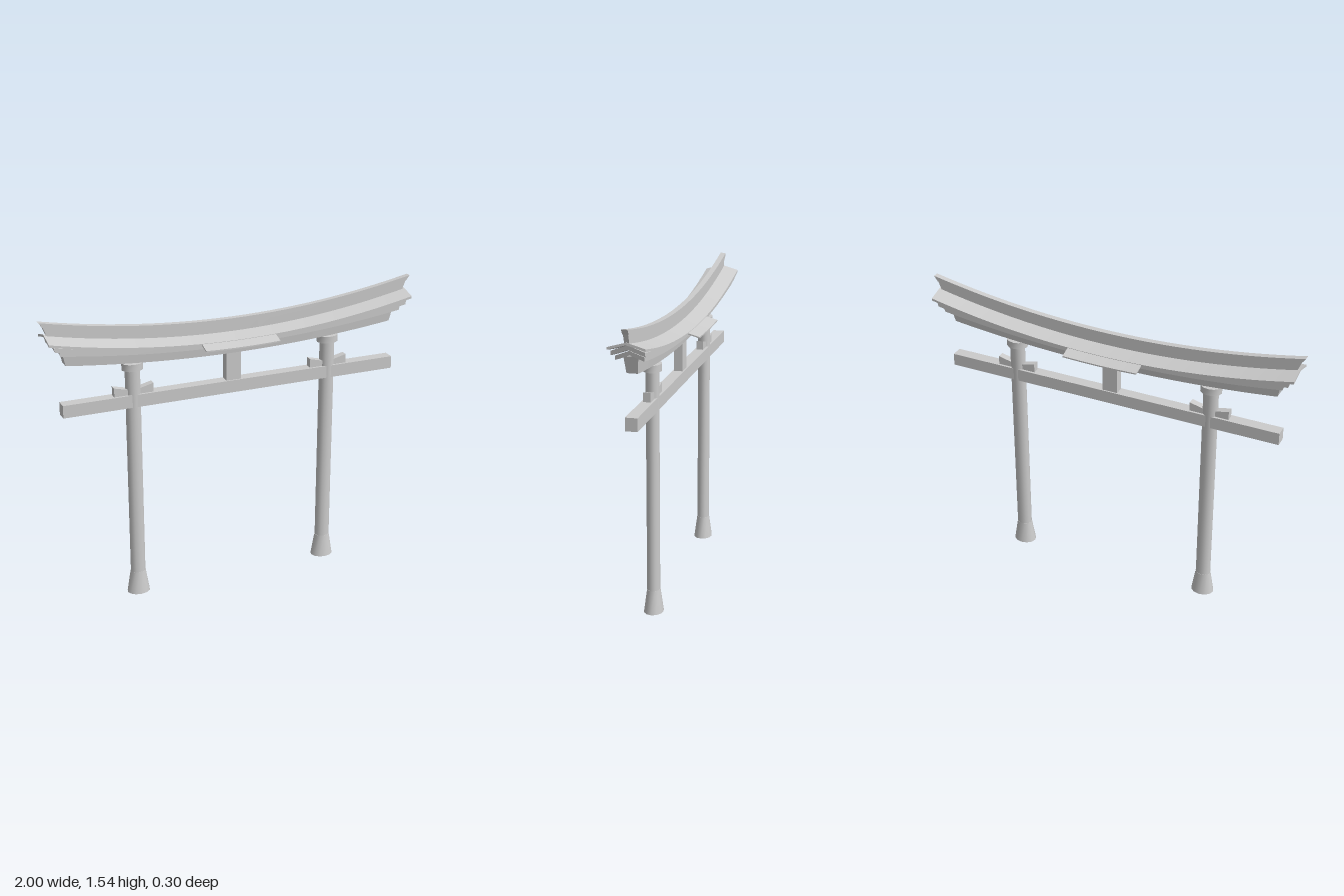
import * as THREE from 'three';
import { toCreasedNormals } from 'three/addons/utils/BufferGeometryUtils.js';

const material = new THREE.MeshStandardMaterial({ color: 0xcccccc, side: THREE.DoubleSide });

function add(parent, geometry, name, x = 0, y = 0, z = 0) {
  const mesh = new THREE.Mesh(geometry, material);
  mesh.name = name;
  mesh.position.set(x, y, z);
  parent.add(mesh);
  return mesh;
}

// Beam with a (z, y) section, swept along x and lifted towards both ends.
// Half length and lift are given as [at the bottom, at the top] of the section.
function curvedBeam(section, halfLength, lift) {
  const shape = new THREE.Shape(section.map(([z, y]) => new THREE.Vector2(z, y)));
  const ys = section.map((p) => p[1]);
  const low = Math.min(...ys), high = Math.max(...ys);
  const geometry = new THREE.ExtrudeGeometry(shape, { depth: 2, steps: 28, bevelEnabled: false });
  geometry.translate(0, 0, -1).rotateY(Math.PI / 2);
  const pos = geometry.attributes.position;
  for (let i = 0; i < pos.count; i++) {
    const y = pos.getY(i);
    const t = (y - low) / (high - low);
    const x = pos.getX(i) * THREE.MathUtils.lerp(...halfLength, t);
    pos.setX(i, x);
    pos.setY(i, y + THREE.MathUtils.lerp(...lift, t) * x * x);
  }
  return toCreasedNormals(geometry, 0.3);
}

// Gabled section: apex height, half width and thickness
function gable(apex, width, thickness) {
  const eave = apex - 0.28 * width;
  return [[0, apex], [-width, eave], [-width, eave - thickness],
    [0, apex - thickness], [width, eave - thickness], [width, eave]];
}

// Four-sided section, symmetric about z = 0
function trapezoid(bottom, top, bottomWidth, topWidth) {
  return [[-bottomWidth, bottom], [bottomWidth, bottom], [topWidth, top], [-topWidth, top]];
}

// Slightly flattened column piece
function column(topRadius, bottomRadius, height) {
  const geometry = new THREE.CylinderGeometry(topRadius, bottomRadius, height, 12);
  geometry.scale(1, 1, 0.82).translate(0, height / 2, 0);
  return toCreasedNormals(geometry, 0.7);
}

export function createModel() {
  const gate = new THREE.Group();
  gate.name = 'gate';

  // Wedge that is taller at its outer end
  const wedgeShape = new THREE.Shape([[0.03, 0], [0.103, 0], [0.103, 0.048], [0.03, 0.03]]
    .map(([x, y]) => new THREE.Vector2(x, y)));
  const wedge = new THREE.ExtrudeGeometry(wedgeShape, { depth: 0.036, bevelEnabled: false });
  wedge.translate(0, 0, -0.018);

  // Pillars with flared feet, capitals and wedges
  for (const side of [1, -1]) {
    const pillar = new THREE.Group();
    pillar.name = side > 0 ? 'leftPillar' : 'rightPillar';
    pillar.position.x = side * 0.535;
    add(pillar, column(0.04, 0.04, 1.25), 'shaft');
    add(pillar, column(0.041, 0.061, 0.12), 'foot');
    add(pillar, column(0.056, 0.056, 0.036), 'capital', 0, 1.238);
    add(pillar, wedge, 'outerWedge', 0, 1.108);
    add(pillar, wedge, 'innerWedge', 0, 1.108).rotation.y = Math.PI;
    gate.add(pillar);
  }

  // Straight tie beam and central strut
  add(gate, new THREE.BoxGeometry(1.81, 0.065, 0.06), 'tieBeam', 0, 1.077);
  add(gate, new THREE.BoxGeometry(0.08, 0.17, 0.045), 'centreStrut', 0, 1.19);

  // Curved lintel
  add(gate, curvedBeam(trapezoid(1.257, 1.33, 0.027, 0.035), [0.88, 0.9], [0.07, 0.08]), 'lintel');

  // Stepped courses under the roof
  add(gate, curvedBeam(gable(1.345, 0.068, 0.015), [0.915, 0.925], [0.08, 0.095]), 'lowerCourse');
  add(gate, curvedBeam(gable(1.36, 0.08, 0.016), [0.945, 0.955], [0.095, 0.108]), 'upperCourse');

  // Roof, its projecting middle eaves and the ridge
  add(gate, curvedBeam(gable(1.371, 0.09, 0.012), [0.975, 0.975], [0.11, 0.11]), 'roof');
  add(gate, curvedBeam(gable(1.369, 0.148, 0.007), [0.2, 0.2], [0.11, 0.11]), 'middleEaves');
  add(gate, curvedBeam(trapezoid(1.362, 1.412, 0.012, 0.012), [0.96, 0.98], [0.11, 0.107]), 'ridge');
  add(gate, curvedBeam(trapezoid(1.41, 1.435, 0.015, 0.015), [0.98, 1], [0.107, 0.105]), 'ridgeCap');

  return gate;
}
